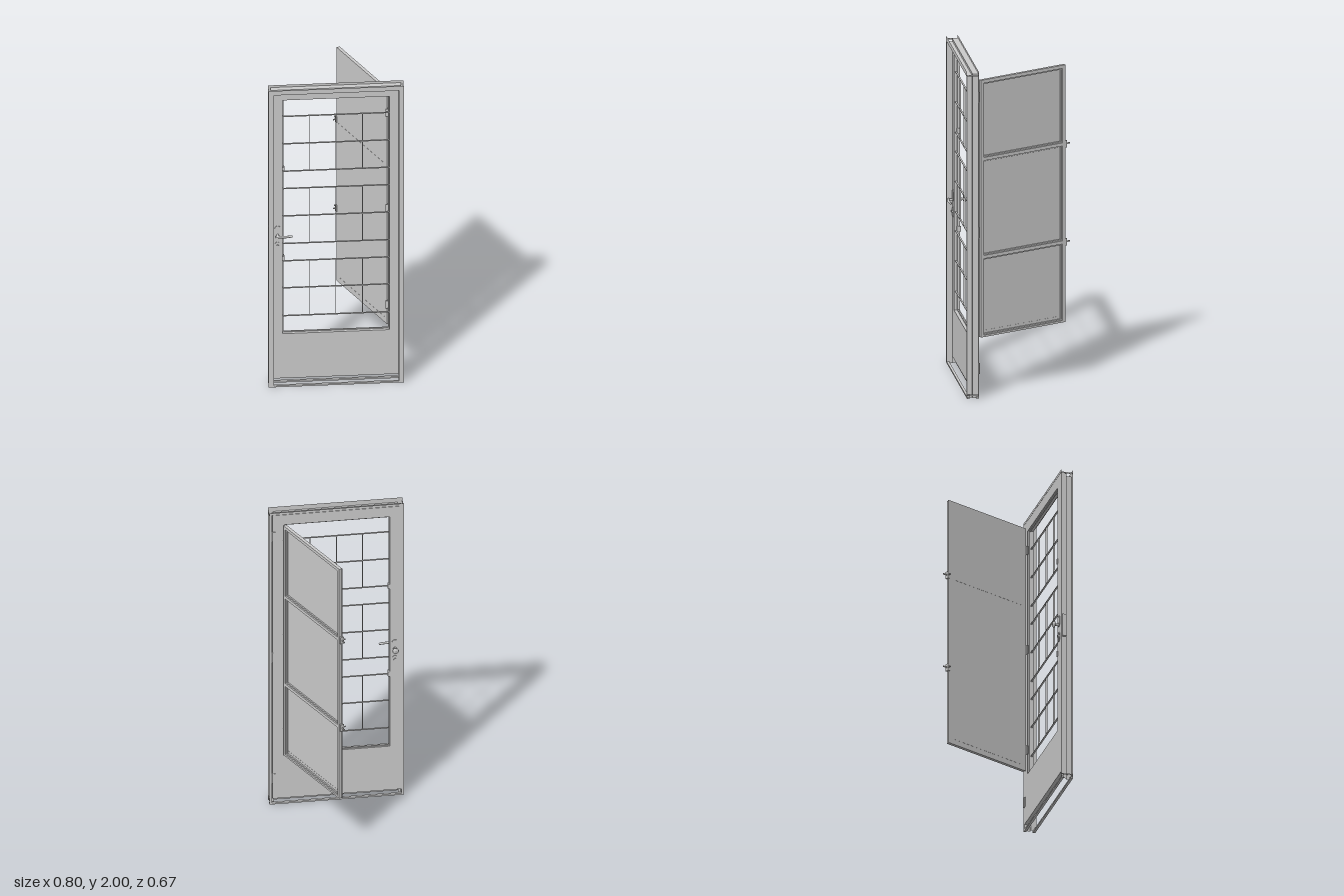
import * as THREE from 'three';

const mat = new THREE.MeshStandardMaterial({ color: 0xcccccc, side: THREE.DoubleSide });

function add(parent, name, geo, x = 0, y = 0, z = 0) {
  const m = new THREE.Mesh(geo, mat);
  m.name = name;
  m.position.set(x, y, z);
  parent.add(m);
  return m;
}
// box given by its limits
function box(parent, name, x0, x1, y0, y1, z0, z1) {
  return add(parent, name, new THREE.BoxGeometry(x1 - x0, y1 - y0, z1 - z0),
    (x0 + x1) / 2, (y0 + y1) / 2, (z0 + z1) / 2);
}
function cyl(parent, name, r, h, x, y, z, axis = 'y', seg = 16) {
  const g = new THREE.CylinderGeometry(r, r, h, seg);
  if (axis === 'z') g.rotateX(Math.PI / 2);
  if (axis === 'x') g.rotateZ(Math.PI / 2);
  return add(parent, name, g, x, y, z);
}
function rect(P, x0, x1, y0, y1) {
  const p = new P();
  p.moveTo(x0, y0); p.lineTo(x1, y0); p.lineTo(x1, y1); p.lineTo(x0, y1); p.closePath();
  return p;
}
// flat slab with rectangular openings, each [x0, x1, y0, y1]
function slab(parent, name, outer, holes, z0, z1) {
  const s = rect(THREE.Shape, ...outer);
  holes.forEach(h => s.holes.push(rect(THREE.Path, ...h)));
  return add(parent, name, new THREE.ExtrudeGeometry(s, { depth: z1 - z0, bevelEnabled: false }), 0, 0, z0);
}

// folded sheet profile (inset, z) swept up one jamb, over the head and down the other
function frameGeometry() {
  const profile = [[0, 0.33], [0.03, 0.33], [0.03, 0.295], [0.015, 0.295], [0.015, 0.26], [0, 0.26]];
  const rail = ([d, z]) => [[d - 0.4, 0, z], [d - 0.4, 2 - d, z], [0.4 - d, 2 - d, z], [0.4 - d, 0, z]];
  const pos = [];
  for (let i = 0; i < profile.length - 1; i++) {
    const a = rail(profile[i]), b = rail(profile[i + 1]);
    for (let j = 0; j < 3; j++)
      pos.push(...a[j], ...b[j], ...b[j + 1], ...a[j], ...b[j + 1], ...a[j + 1]);
  }
  const g = new THREE.BufferGeometry();
  g.setAttribute('position', new THREE.Float32BufferAttribute(pos, 3));
  g.computeVertexNormals();
  return g;
}

function buildFrame(parent) {
  const g = new THREE.Group(); g.name = 'doorFrame'; parent.add(g);
  add(g, 'frameProfile', frameGeometry());
  // sill rails and the cross ties at the corners
  box(g, 'sillFront', -0.4, 0.4, 0, 0.01, 0.315, 0.33);
  box(g, 'sillBack', -0.4, 0.4, 0, 0.01, 0.26, 0.275);
  for (const s of [-1, 1]) for (const y of [0.022, 1.978])
    box(g, 'cornerTie', s * 0.399 - 0.001, s * 0.399 + 0.001, y - 0.004, y + 0.004, 0.26, 0.33);
  box(g, 'strikeBox', -0.4, -0.385, 0.92, 1.06, 0.265, 0.29);
}

function buildLeaf(parent) {
  const g = new THREE.Group(); g.name = 'doorLeaf'; parent.add(g);
  slab(g, 'leafPanel', [-0.383, 0.383, 0.04, 1.983], [[-0.315, 0.315, 0.34, 1.915]], 0.26, 0.295);
  // slim bead round the opening
  slab(g, 'openingBead', [-0.318, 0.318, 0.337, 1.918], [[-0.309, 0.309, 0.346, 1.909]], 0.268, 0.276);
  // three grilles, each of three horizontals and three uprights
  for (const [lo, mid, hi] of [[0.455, 0.643, 0.825], [0.942, 1.128, 1.313], [1.43, 1.615, 1.8]]) {
    for (const y of [lo, mid, hi])
      box(g, 'grilleRail', -0.315, 0.315, y - 0.002, y + 0.002, 0.278, 0.288);
    for (const x of [-0.157, 0, 0.157])
      box(g, 'grilleUpright', x - 0.002, x + 0.002, lo, hi, 0.278, 0.288);
  }
  // hinges of the leaf
  for (const y of [0.18, 1.01, 1.84]) {
    cyl(g, 'leafHinge', 0.004, 0.065, 0.383, y, 0.256);
    box(g, 'hingePlate', 0.365, 0.383, y - 0.03, y + 0.03, 0.2575, 0.26);
  }
  // keepers for the shutter latches
  for (const y of [0.838, 1.438])
    box(g, 'latchKeeper', -0.317, -0.303, y - 0.016, y + 0.016, 0.255, 0.28);
}

function platePill(w, h, depth) {
  const s = new THREE.Shape(), r = w / 2, k = h / 2 - r;
  s.absarc(0, k, r, 0, Math.PI);
  s.absarc(0, -k, r, Math.PI, Math.PI * 2);
  return new THREE.ExtrudeGeometry(s, { depth, bevelEnabled: false, curveSegments: 12 });
}

function buildHandle(parent) {
  const g = new THREE.Group(); g.name = 'lockSet'; parent.add(g);
  const x = -0.345;
  // front: plates, keyhole and lever
  add(g, 'frontRose', platePill(0.034, 0.07, 0.004), x, 1.035, 0.295);
  add(g, 'frontKeyPlate', platePill(0.03, 0.06, 0.004), x, 0.932, 0.295);
  cyl(g, 'frontKeyCylinder', 0.008, 0.012, x, 0.937, 0.3, 'z');
  cyl(g, 'leverNeck', 0.007, 0.03, x, 1.01, 0.31, 'z');
  const path = new THREE.CatmullRomCurve3([[x - 0.008, 0.322], [x + 0.01, 0.326], [x + 0.045, 0.328], [x + 0.08, 0.323]]
    .map(([a, b]) => new THREE.Vector3(a, 1.01, b)));
  add(g, 'lever', new THREE.TubeGeometry(path, 16, 0.007, 10));
  for (const t of [0, 1]) add(g, 'leverEnd', new THREE.SphereGeometry(0.007, 10, 8)).position.copy(path.getPoint(t));
  // back: plates and turned knob
  add(g, 'backRose', platePill(0.034, 0.07, 0.004), x, 1.035, 0.256);
  add(g, 'backKeyPlate', platePill(0.03, 0.06, 0.004), x, 0.932, 0.256);
  cyl(g, 'backKeyCylinder', 0.008, 0.012, x, 0.937, 0.255, 'z');
  const turned = [[0, 0], [0.012, 0], [0.008, 0.006], [0.007, 0.02], [0.017, 0.023], [0.019, 0.03], [0.016, 0.036], [0, 0.038]]
    .map(([r, h]) => new THREE.Vector2(r, h));
  add(g, 'knob', new THREE.LatheGeometry(turned, 24), x, 1.01, 0.257).rotation.x = -Math.PI / 2;
}

// hinged shutter, built along local +x with its sheet on the local -z side
function buildShutter(parent) {
  const g = new THREE.Group(); g.name = 'shutter'; parent.add(g);
  const W = 0.605, y0 = 0.35, y1 = 1.925;
  g.position.set(0.307, 0, 0.245);
  g.rotation.y = Math.atan2(0.545, -0.255);
  const panes = [[0.362, 0.83], [0.85, 1.43], [1.45, 1.905]];
  box(g, 'shutterSheet', 0, W, y0, y1, -0.002, 0.002);
  slab(g, 'shutterFrame', [0.004, W - 0.004, y0, y1], panes.map(p => [0.022, W - 0.022, ...p]), 0.002, 0.018);
  // raised beads round each pane
  for (const [a, b] of panes)
    slab(g, 'paneBead', [0.022, W - 0.022, a, b], [[0.03, W - 0.03, a + 0.008, b - 0.008]], 0.002, 0.01);
  // pressed seams on the sheet
  for (const y of [0.385, 1.42])
    box(g, 'sheetSeam', 0.03, W - 0.03, y - 0.002, y + 0.002, -0.003, 0.003);
  // turn latches on the free edge
  for (const y of [0.838, 1.438]) {
    box(g, 'latchBody', W - 0.008, W + 0.008, y - 0.022, y + 0.022, -0.006, 0.016);
    cyl(g, 'latchPin', 0.004, 0.03, W + 0.003, y, -0.006, 'z', 10);
    box(g, 'latchTongue', W + 0.005, W + 0.037, y - 0.004, y + 0.004, 0.004, 0.008);
  }
  // hinges beside the leaf
  for (const y of [0.49, 1.14, 1.785]) {
    cyl(parent, 'shutterHinge', 0.004, 0.055, 0.31, y, 0.253);
    box(parent, 'shutterHingePlate', 0.296, 0.32, y - 0.025, y + 0.025, 0.257, 0.26);
  }
}

export function createModel() {
  const model = new THREE.Group();
  model.name = 'door';
  buildFrame(model);
  buildLeaf(model);
  buildHandle(model);
  // shutter turns about its hinge edge; sheet faces the +x side
  buildShutter(model);
  const shutter = model.getObjectByName('shutter');
  const pivot = new THREE.Vector3(0.307, 0, 0.245);
  // local +z must face the front (-x, +z) side
  const dir = new THREE.Vector3(-0.255, 0, -0.545).normalize();
  const side = new THREE.Vector3(0, 1, 0).cross(dir);
  if (side.x > 0) {
    shutter.children.forEach(c => { c.rotation.y += 0; });
  }
  shutter.position.copy(pivot);
  return model;
}
